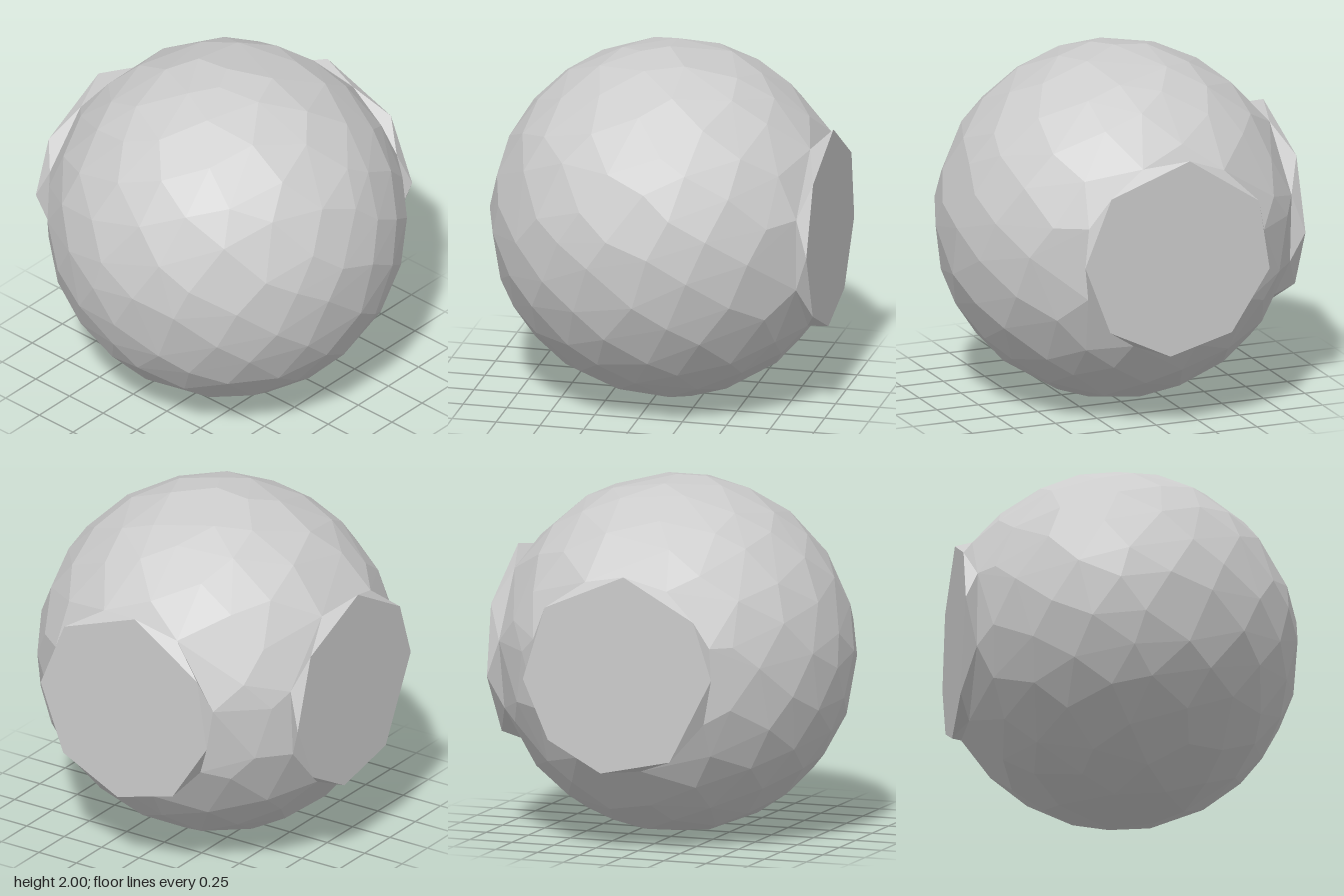
import * as THREE from 'three';
import { ConvexGeometry } from 'three/addons/geometries/ConvexGeometry.js';

const CENTRE = new THREE.Vector3(0.045, 1, -0.045);
const CUT = 0.845, OUTER = 0.915, RING = 0.56;

// Corner angles of the eight-sided caps, seen from outside
const SIDE_ANGLES = [83, 136, 179, 223, 265, 305, 348, 390];
const BACK_ANGLES = [1, 36, 86, 140, 185, 223, 260, 304];

// Each mount: outward direction, horizontal direction and corner angles
const MOUNTS = [
  { name: 'sideMount', out: new THREE.Vector3(1, 0, 0), across: new THREE.Vector3(0, 0, -1), angles: SIDE_ANGLES },
  { name: 'backMount', out: new THREE.Vector3(0, 0, -1), across: new THREE.Vector3(-1, 0, 0), angles: BACK_ANGLES },
];

const midAngles = (a) => a.map((v, i) => (v + (i + 1 < a.length ? a[i + 1] : a[0] + 360)) / 2);

// Ring of corners at a given distance from the ball's centre
function ring({ out, across }, angles, distance, radius) {
  return angles.map((deg) => {
    const t = THREE.MathUtils.degToRad(deg);
    return new THREE.Vector3(0, 0.01 + Math.sin(t) * radius, 0)
      .addScaledVector(across, Math.cos(t) * radius)
      .addScaledVector(out, distance);
  });
}

// Evenly spread, slightly jittered points on the unit sphere
function ballPoints(count) {
  let seed = 7;
  const jitter = () => {
    seed = (seed * 16807) % 2147483647;
    return (seed / 2147483647 - 0.5) * 0.09;
  };
  const points = [];
  for (let i = 0; i < count; i++) {
    const y = 1 - (2 * i) / (count - 1);
    const r = Math.sqrt(1 - y * y);
    const a = i * Math.PI * (3 - Math.sqrt(5));
    const p = new THREE.Vector3(r * Math.cos(a), y, r * Math.sin(a));
    if (i > 0 && i < count - 1) p.add(new THREE.Vector3(jitter(), jitter(), jitter())).normalize();
    points.push(p);
  }
  return points;
}

export function createModel() {
  const group = new THREE.Group();
  const material = new THREE.MeshStandardMaterial({ color: 0xcccccc, flatShading: true });

  const add = (name, points) => {
    const mesh = new THREE.Mesh(new ConvexGeometry(points), material);
    mesh.name = name;
    mesh.position.copy(CENTRE);
    group.add(mesh);
  };

  // Faceted ball, sliced flat where the mounts sit
  const points = ballPoints(185).filter((p) => MOUNTS.every((m) => p.dot(m.out) < CUT - 0.06));
  for (const m of MOUNTS) points.push(...ring(m, midAngles(m.angles), CUT, 0.55));
  add('ball', points);

  // Shallow eight-sided mounts with twisted, triangulated rims
  for (const m of MOUNTS) {
    add(m.name, [...ring(m, midAngles(m.angles), CUT, 0.55), ...ring(m, m.angles, OUTER, RING)]);
  }
  return group;
}
